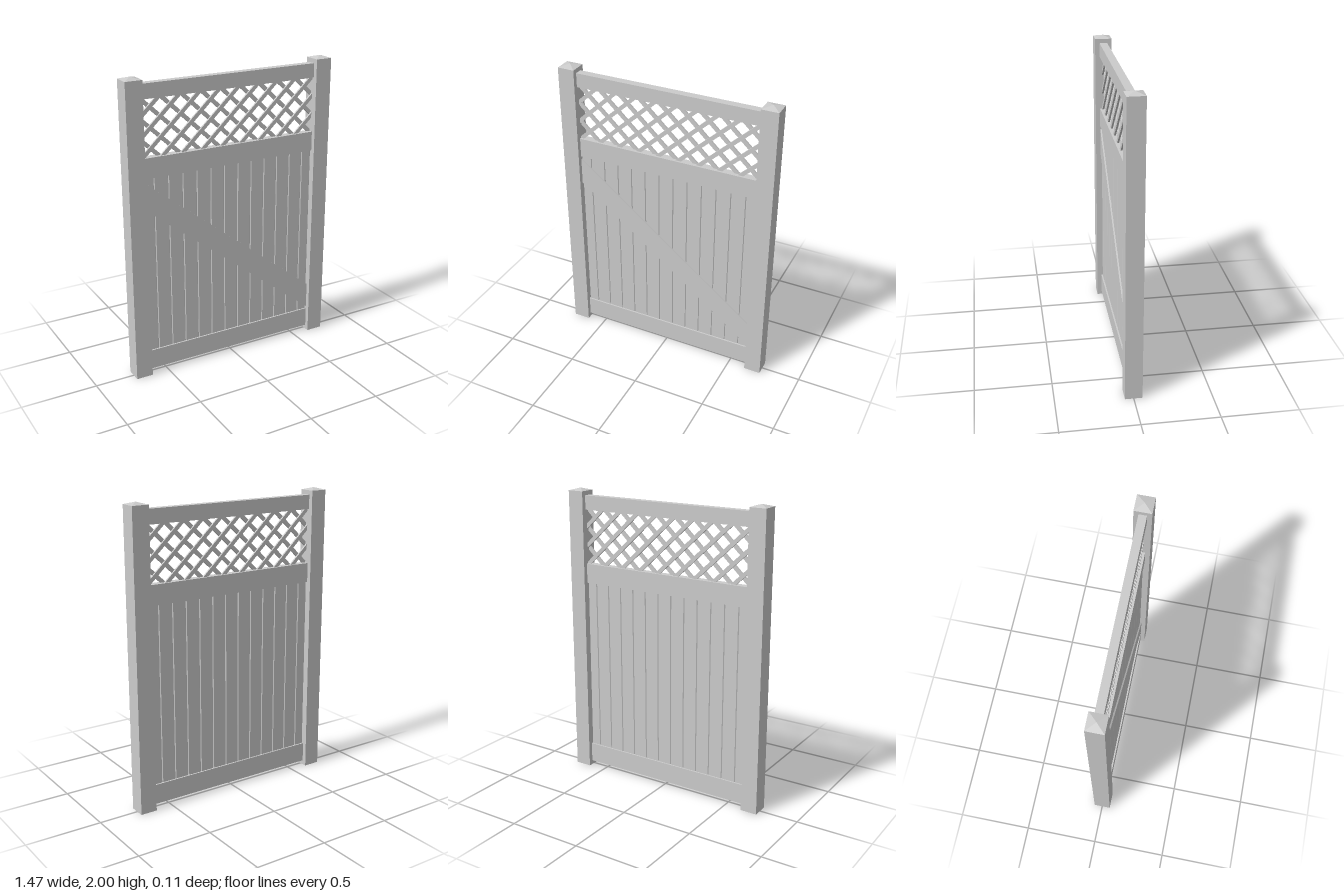
import * as THREE from 'three';

const mat = new THREE.MeshStandardMaterial({ color: 0xcccccc, flatShading: true });

export function createModel() {
  const gate = new THREE.Group();
  gate.name = 'gate';
  const add = (name, geo, x, y, z, parent = gate) => {
    const m = new THREE.Mesh(geo, mat);
    m.name = name;
    m.position.set(x, y, z);
    parent.add(m);
    return m;
  };

  const inner = 0.622, postW = 0.113, postX = inner + postW / 2;
  const railD = 0.052, shaftH = 1.984;

  // Posts with shallow pyramid caps
  for (const [side, s] of [['left', 1], ['right', -1]]) {
    add(side + 'Post', new THREE.BoxGeometry(postW, shaftH, postW), s * postX, shaftH / 2, 0);
    const cap = new THREE.ConeGeometry(postW * Math.SQRT1_2, 2 - shaftH, 4, 1, true).rotateY(Math.PI / 4);
    add(side + 'PostCap', cap, s * postX, (2 + shaftH) / 2, 0);
  }

  // Horizontal rails
  for (const [name, y0, y1] of [['bottomRail', 0.03, 0.165], ['middleRail', 1.36, 1.492], ['topRail', 1.86, 1.955]]) {
    add(name, new THREE.BoxGeometry(inner * 2, y1 - y0, railD), 0, (y0 + y1) / 2, 0);
  }

  // Vertical boards with chamfered edges that form V grooves
  const boards = new THREE.Group();
  boards.name = 'boards';
  gate.add(boards);
  const t = 0.016, c = 0.005, boardY = 0.15, boardH = 1.23;
  for (let i = -6; i <= 6; i++) {
    const x0 = Math.max(-inner, i * 0.1 - 0.05), x1 = Math.min(inner, i * 0.1 + 0.05);
    const profile = new THREE.Shape([
      [x0 + c, -t], [x1 - c, -t], [x1, -t + c], [x1, t - c],
      [x1 - c, t], [x0 + c, t], [x0, t - c], [x0, -t + c],
    ].map(([x, z]) => new THREE.Vector2(x, z)));
    const geo = new THREE.ExtrudeGeometry(profile, { depth: boardH, bevelEnabled: false }).rotateX(-Math.PI / 2);
    add('board', geo, 0, boardY, 0, boards);
  }

  // Diagonal brace on the front face
  const brace = new THREE.Shape([
    [-inner, 1.16], [inner, 0.182], [inner, 0.36], [-inner, 1.338],
  ].map(([x, y]) => new THREE.Vector2(x, y)));
  add('diagonalBrace', new THREE.ExtrudeGeometry(brace, { depth: 0.016, bevelEnabled: false }), 0, 0, 0.01);

  // Lattice: two layers of crossing slats, ends tucked into the frame
  const lattice = new THREE.Group();
  lattice.name = 'lattice';
  gate.add(lattice);
  const yLow = 1.485, yHigh = 1.867, yMid = (yLow + yHigh) / 2;
  const angle = THREE.MathUtils.degToRad(43), slope = Math.tan(angle);
  const run = (yHigh - yLow) / 2 / slope, pitch = 0.14, slatW = 0.026, slatT = 0.012;
  for (const dir of [1, -1]) {
    for (let i = -6; i <= 6; i++) {
      const cx = i * pitch;
      const x0 = Math.max(-inner - 0.008, cx - run), x1 = Math.min(inner + 0.008, cx + run);
      if (x1 - x0 < 0.02) continue;
      const mx = (x0 + x1) / 2;
      const geo = new THREE.BoxGeometry((x1 - x0) / Math.cos(angle) + 0.02, slatW, slatT);
      const slat = add('latticeSlat', geo, mx, yMid + dir * slope * (mx - cx), dir * slatT / 2, lattice);
      slat.rotation.z = dir * angle;
    }
  }
  return gate;
}
